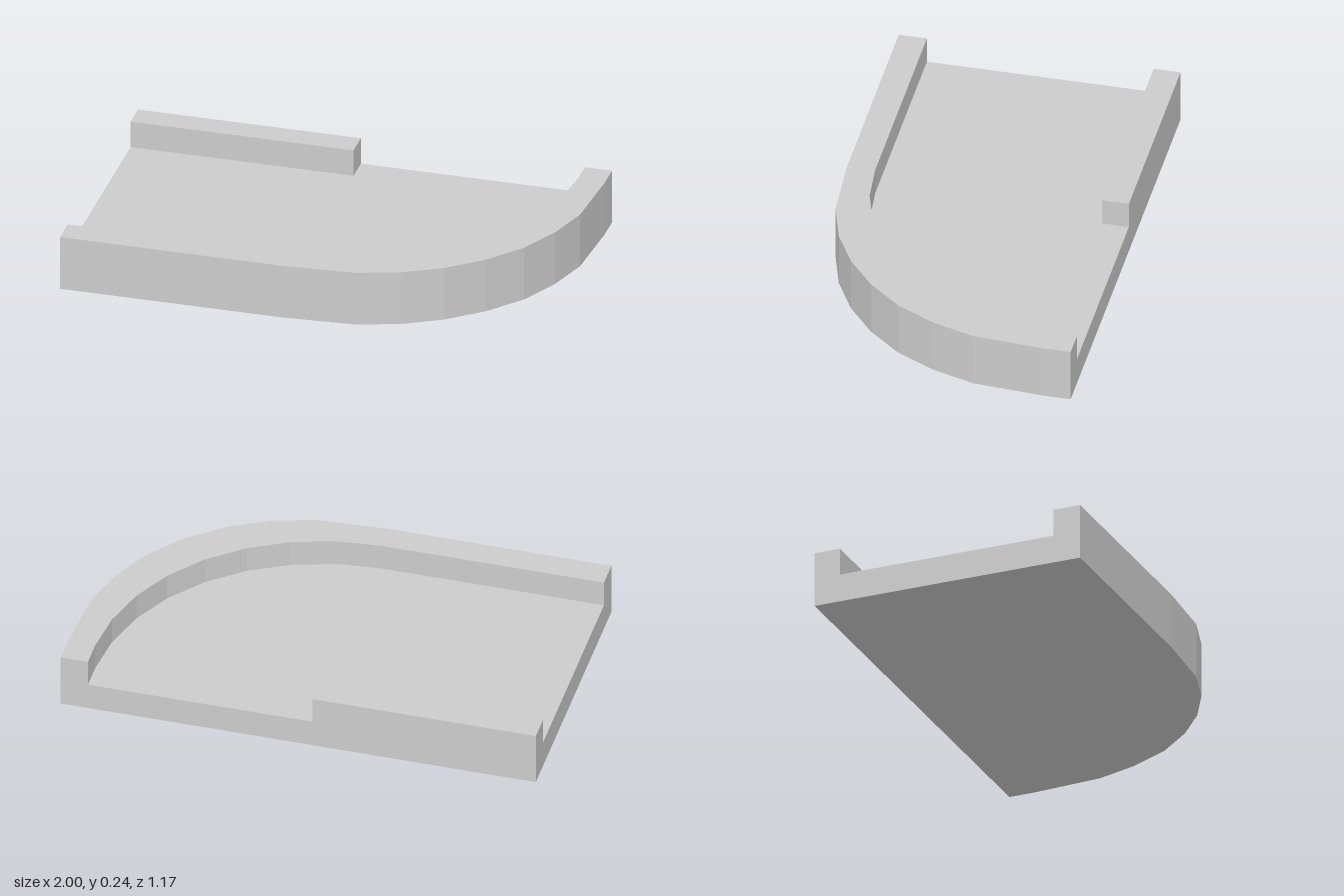
import * as THREE from 'three';

const FLOOR = 0.12, TOP = 0.236, BACK = -0.587;

// Curved corner outlines in plan, as [x, z] from the front edge round to the side
const outer = [
  [-0.06, 0.587], [0.24, 0.567], [0.42, 0.512], [0.58, 0.425], [0.72, 0.31],
  [0.84, 0.168], [0.925, 0], [0.98, -0.178], [1, -0.475], [1, BACK],
];
const inner = [
  [-0.06, 0.47], [0.12, 0.452], [0.3, 0.397], [0.46, 0.312], [0.605, 0.195],
  [0.725, 0.05], [0.81, -0.11], [0.865, -0.29], [0.885, -0.475], [0.885, BACK],
];

export function createModel() {
  const group = new THREE.Group();
  const material = new THREE.MeshStandardMaterial({ color: 0xcccccc, flatShading: true });

  // Raises a plan outline into a slab between two heights
  const slab = (name, plan, y0, y1) => {
    const shape = new THREE.Shape(plan.map(([x, z]) => new THREE.Vector2(x, -z)));
    const geometry = new THREE.ExtrudeGeometry(shape, { depth: y1 - y0, bevelEnabled: false });
    geometry.rotateX(-Math.PI / 2).translate(0, y0, 0);
    const mesh = new THREE.Mesh(geometry, material);
    mesh.name = name;
    group.add(mesh);
  };

  // Floor plate with one rounded corner
  slab('basePlate', [[-1, BACK], [-1, 0.587], ...outer], 0, FLOOR);

  // Wall along the front and round the corner
  slab('curvedRim', [[-1, 0.587], ...outer, ...[...inner].reverse(), [-1, 0.47]], FLOOR, TOP);

  // Short straight wall at the back
  slab('backRail', [[-1, BACK], [-1, -0.475], [-0.06, -0.475], [-0.06, BACK]], FLOOR, TOP);

  return group;
}
